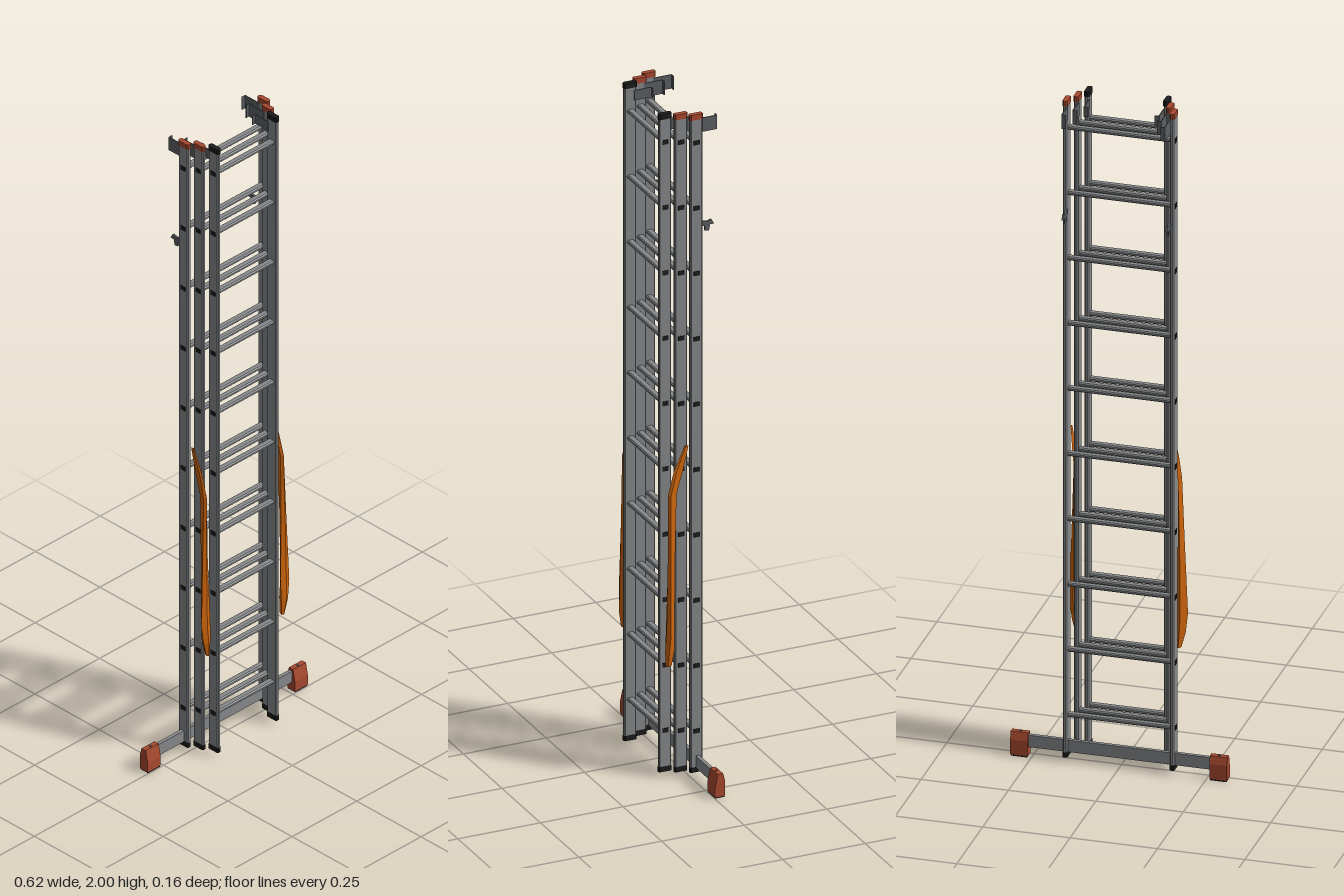
import * as THREE from 'three';

const mat = (name, color, extra = {}) => Object.assign(new THREE.MeshStandardMaterial({ color, ...extra }), { name });

export function createModel() {
  const root = new THREE.Group();
  root.name = 'extensionLadder';
  const aluminium = mat('aluminium', 0x86888a, { flatShading: true });
  const steel = mat('darkSteel', 0x5c5f63, { side: THREE.DoubleSide });
  const plastic = mat('redPlastic', 0xa8492f, { flatShading: true });
  const rubber = mat('blackRubber', 0x1c1c1c);
  const webbing = mat('orangeWebbing', 0xd0660c, { flatShading: true, side: THREE.DoubleSide });

  const add = (parent, name, geo, m, x = 0, y = 0, z = 0) => {
    const mesh = new THREE.Mesh(geo, m);
    mesh.name = name;
    mesh.position.set(x, y, z);
    parent.add(mesh);
    return mesh;
  };
  const box = (w, h, d) => new THREE.BoxGeometry(w, h, d);

  // Vertical bar with chamfered corners, standing on its own base
  const bar = (w, d, h, c) => {
    const a = w / 2, b = d / 2;
    const pts = [[a, b - c], [a - c, b], [c - a, b], [-a, b - c], [-a, c - b], [c - a, -b], [a - c, -b], [a, c - b]];
    const s = new THREE.Shape(pts.map(p => new THREE.Vector2(...p)));
    return new THREE.ExtrudeGeometry(s, { depth: h, bevelEnabled: false }).rotateX(-Math.PI / 2);
  };

  // Three nested ladder sections, widest at the back
  const sections = [
    { name: 'backSection', x: 0.153, z: -0.015, cap: plastic },
    { name: 'middleSection', x: 0.132, z: 0.022, cap: plastic },
    { name: 'frontSection', x: 0.113, z: 0.061, cap: rubber },
  ];
  for (const { name, x, z, cap } of sections) {
    const g = new THREE.Group();
    g.name = name;
    root.add(g);
    for (const s of [-1, 1]) {
      add(g, 'rail', bar(0.012, 0.037, 1.955, 0.003), aluminium, s * x, 0.03, z);
      add(g, 'topCap', bar(0.015, 0.04, 0.016, 0.004), cap, s * x, 1.984, z);
      add(g, 'bottomCap', bar(0.014, 0.038, 0.015, 0.003), rubber, s * x, 0.016, z);
    }
    for (let i = 0; i < 10; i++) {
      const y = 0.14 + i * 0.1972;
      add(g, 'rung', bar(0.011, 0.02, 2 * x, 0.003).rotateZ(-Math.PI / 2), aluminium, -x, y, z);
      // Flared rung ends on the outside of the rails
      for (const s of [-1, 1]) add(g, 'rungEnd', box(0.0035, 0.013, 0.018), rubber, s * (x + 0.006), y, z);
    }
  }

  // Guide hooks: a plate reaching backwards with a lip turned inwards
  const hook = (name, s, x, y, z, len, h) => {
    const g = new THREE.Group();
    g.name = name;
    g.position.set(s * x, y, z);
    add(g, 'hookPlate', box(0.003, h, len), steel, 0, 0, -len / 2);
    add(g, 'hookLip', box(0.012, h, 0.002), steel, -s * 0.006, 0, -len);
    root.add(g);
  };
  for (const s of [-1, 1]) {
    hook('upperGuideHook', s, 0.147, 1.96, -0.025, 0.057, 0.042);
    hook('innerGuideHook', s, 0.126, 1.96, 0.012, 0.057, 0.042);
    hook('frontGuideHook', s, 0.107, 1.96, 0.05, 0.052, 0.03);
  }

  // Rung catches, cut as a small open claw
  const claw = new THREE.Shape([
    [0, 0.018], [0.02, 0.012], [0.034, 0.016], [0.042, 0.002], [0.03, 0.002],
    [0.026, -0.016], [0.014, -0.014], [0.014, 0], [0, 0.002],
  ].map(p => new THREE.Vector2(...p)));
  const clawGeo = new THREE.ExtrudeGeometry(claw, { depth: 0.006, bevelEnabled: false })
    .translate(0, 0, -0.003).rotateY(Math.PI / 2);
  for (const s of [-1, 1]) add(root, 'rungCatch', clawGeo, steel, s * 0.148, 1.655, -0.03);

  // Stabiliser beam with wedge feet
  add(root, 'stabiliserBeam', box(0.56, 0.036, 0.011), aluminium, 0, 0.047, -0.018);
  const foot = new THREE.Shape([
    [-0.015, 0], [0.015, 0], [0.015, 0.03], [0.007, 0.068], [-0.009, 0.068], [-0.015, 0.045],
  ].map(p => new THREE.Vector2(...p)));
  const footGeo = new THREE.ExtrudeGeometry(foot, { depth: 0.05, bevelEnabled: false })
    .translate(0, 0, -0.025).rotateY(-Math.PI / 2);
  for (const s of [-1, 1]) {
    add(root, 'stabiliserFoot', footGeo, plastic, s * 0.285, 0.004, -0.016);
    add(root, 'footPad', box(0.046, 0.006, 0.028), rubber, s * 0.285, 0.003, -0.016);
    add(root, 'footBolt', new THREE.CylinderGeometry(0.004, 0.004, 0.003, 8), steel, s * 0.285, 0.0725, -0.016);
  }

  // Hanging straps: diamond cross-sections [y, x, z, half width, half depth]
  const rings = [
    [1.0, 0.147, 0.01, 0.002, 0.006], [0.93, 0.148, 0.035, 0.004, 0.014],
    [0.86, 0.149, 0.054, 0.006, 0.013], [0.66, 0.152, 0.058, 0.010, 0.011],
    [0.45, 0.153, 0.061, 0.017, 0.012], [0.39, 0.15, 0.062, 0.013, 0.014],
    [0.345, 0.145, 0.063, 0.006, 0.009],
  ];
  const strapGeo = s => {
    const pos = [], idx = [];
    for (const [y, x, z, w, d] of rings) {
      pos.push(s * (x + w), y, z + d * 0.5, s * x, y, z + d, s * (x - w), y, z + d * 0.5, s * x, y, z - d);
    }
    for (let r = 0; r < rings.length - 1; r++) {
      for (let k = 0; k < 4; k++) {
        const a = r * 4 + k, b = r * 4 + (k + 1) % 4;
        const quad = [a, a + 4, b, b, a + 4, b + 4];
        idx.push(...(s > 0 ? quad.reverse() : quad));
      }
    }
    const e = (rings.length - 1) * 4;
    idx.push(0, 1, 2, 0, 2, 3, e, e + 2, e + 1, e, e + 3, e + 2);
    const g = new THREE.BufferGeometry();
    g.setAttribute('position', new THREE.Float32BufferAttribute(pos, 3));
    g.setIndex(idx);
    // Outward side must lead, whichever side the strap hangs on
    const flip = g.index.array;
    for (let i = 0; i < flip.length; i += 3) {
      const p = [0, 1, 2].map(k => new THREE.Vector3().fromArray(pos, flip[i + k] * 3));
      const n = p[1].clone().sub(p[0]).cross(p[2].clone().sub(p[0]));
      const mid = p[0].clone().add(p[1]).add(p[2]).divideScalar(3);
      if (n.dot(mid.sub(new THREE.Vector3(s * 0.15, mid.y, 0.058))) < 0) [flip[i + 1], flip[i + 2]] = [flip[i + 2], flip[i + 1]];
    }
    g.computeVertexNormals();
    return g;
  };
  for (const s of [-1, 1]) add(root, s > 0 ? 'leftStrap' : 'rightStrap', strapGeo(s), webbing);

  return root;
}
